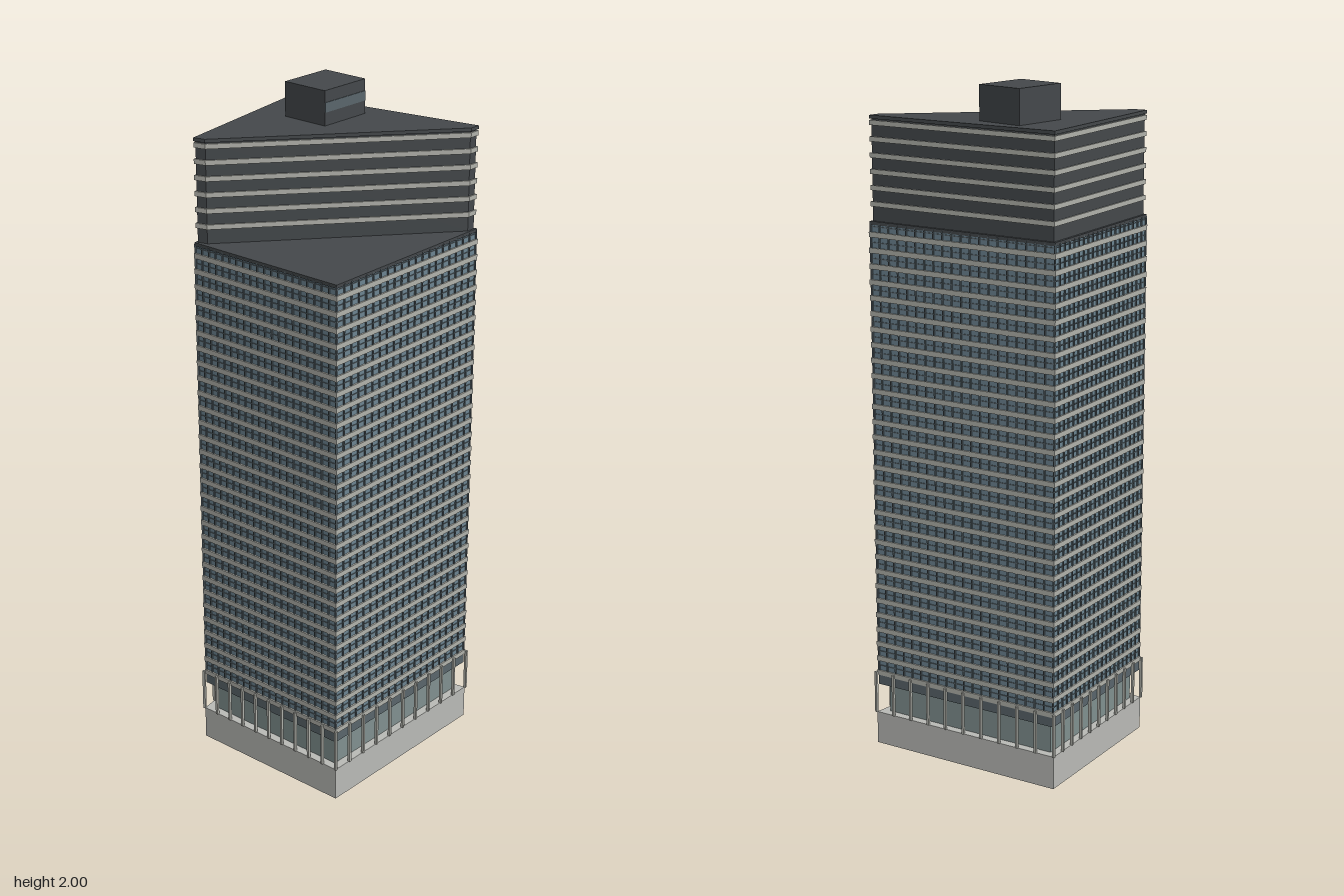
import * as THREE from 'three';

const mat = (color) => new THREE.MeshStandardMaterial({ color, flatShading: true });

// Moves every edge of a footprint ([x, z] corners, counter-clockwise from above) inward by d.
function inset(pts, d) {
  const n = pts.length;
  const normal = (a, b) => {
    const l = Math.hypot(b[0] - a[0], b[1] - a[1]);
    return [-(b[1] - a[1]) / l, (b[0] - a[0]) / l];
  };
  return pts.map((p, i) => {
    const n1 = normal(pts[(i + n - 1) % n], p), n2 = normal(p, pts[(i + 1) % n]);
    const k = d / (1 + n1[0] * n2[0] + n1[1] * n2[1]);
    return [p[0] + (n1[0] + n2[0]) * k, p[1] + (n1[1] + n2[1]) * k];
  });
}

// Upright prism over a footprint.
function prism(name, pts, y0, y1, material) {
  const shape = new THREE.Shape(pts.map(([x, z]) => new THREE.Vector2(x, -z)));
  const geo = new THREE.ExtrudeGeometry(shape, { depth: y1 - y0, bevelEnabled: false });
  geo.rotateX(-Math.PI / 2).translate(0, y0, 0);
  const mesh = new THREE.Mesh(geo, material);
  mesh.name = name;
  return mesh;
}

// Evenly spaced upright posts along all edges of a footprint.
function posts(name, pts, count, w, d, y0, y1, material) {
  const group = new THREE.Group();
  group.name = name;
  const geo = new THREE.BoxGeometry(w, y1 - y0, d);
  pts.forEach((a, e) => {
    const b = pts[(e + 1) % pts.length];
    for (let i = 0; i < count; i++) {
      const t = i / count;
      const post = new THREE.Mesh(geo, material);
      post.position.set(a[0] + (b[0] - a[0]) * t, (y0 + y1) / 2, a[1] + (b[1] - a[1]) * t);
      post.rotation.y = -Math.atan2(b[1] - a[1], b[0] - a[0]);
      group.add(post);
    }
  });
  return group;
}

export function createModel() {
  const model = new THREE.Group();
  model.name = 'officeTower';

  const stone = mat(0xb9bab6), band = mat(0xb0b1aa), glass = mat(0x6c8491);
  const lobbyGlass = mat(0x80908f), dark = mat(0x44484b), steel = mat(0x59656b);

  // Skewed four-sided footprint and the wedge that carries on above the terrace
  const plot = [[-0.31, -0.2], [0.302, -0.31], [0.308, 0.302], [-0.215, 0.31]];
  const wedge = [[-0.302, -0.196], [0.297, -0.303], [0.297, -0.27], [-0.175, 0.295], [-0.21, 0.304]];

  // Plinth
  model.add(prism('plinth', plot, 0, 0.1, stone));

  // Recessed lobby with an outer row of columns
  model.add(prism('lobby', inset(plot, 0.025), 0.1, 0.2, lobbyGlass));
  model.add(prism('lobbySoffit', inset(plot, 0.004), 0.19, 0.22, steel));
  model.add(posts('lobbyColumns', inset(plot, -0.001), 10, 0.007, 0.008, 0.1, 0.23, band));

  // Glazed shaft, mullions and spandrel bands
  model.add(prism('shaft', inset(plot, 0.006), 0.2, 1.595, glass));
  model.add(posts('mullions', inset(plot, 0.005), 20, 0.004, 0.006, 0.22, 1.595, steel));
  const pitch = 0.046;
  const bands = new THREE.Group();
  bands.name = 'spandrelBands';
  for (let i = 0; i < 30; i++) {
    const y = 0.22 + i * pitch;
    bands.add(prism('spandrelBand', inset(plot, 0.001), y, y + 0.015, band));
    bands.add(prism('transom', inset(plot, 0.004), y + 0.029, y + 0.032, steel));
  }
  model.add(bands);
  model.add(prism('terrace', inset(plot, 0.003), 1.59, 1.6, dark));

  // Dark louvred crown
  model.add(prism('crown', inset(wedge, 0.004), 1.6, 1.895, dark));
  const crownBands = new THREE.Group();
  crownBands.name = 'crownBands';
  for (let i = 0; i < 6; i++) {
    const y = 1.642 + i * pitch;
    crownBands.add(prism('crownBand', wedge, y, y + 0.014, band));
  }
  model.add(crownBands);
  model.add(prism('roof', wedge, 1.89, 1.9, dark));

  // Plant room on the roof with a louvre strip
  const plant = new THREE.Mesh(new THREE.BoxGeometry(0.148, 0.1, 0.17), dark);
  plant.name = 'plantRoom';
  plant.position.set(-0.09, 1.95, -0.1);
  const louvre = new THREE.Mesh(new THREE.BoxGeometry(0.004, 0.028, 0.168), steel);
  louvre.name = 'plantLouvre';
  louvre.position.set(-0.016, 1.952, -0.1);
  model.add(plant, louvre);

  return model;
}
